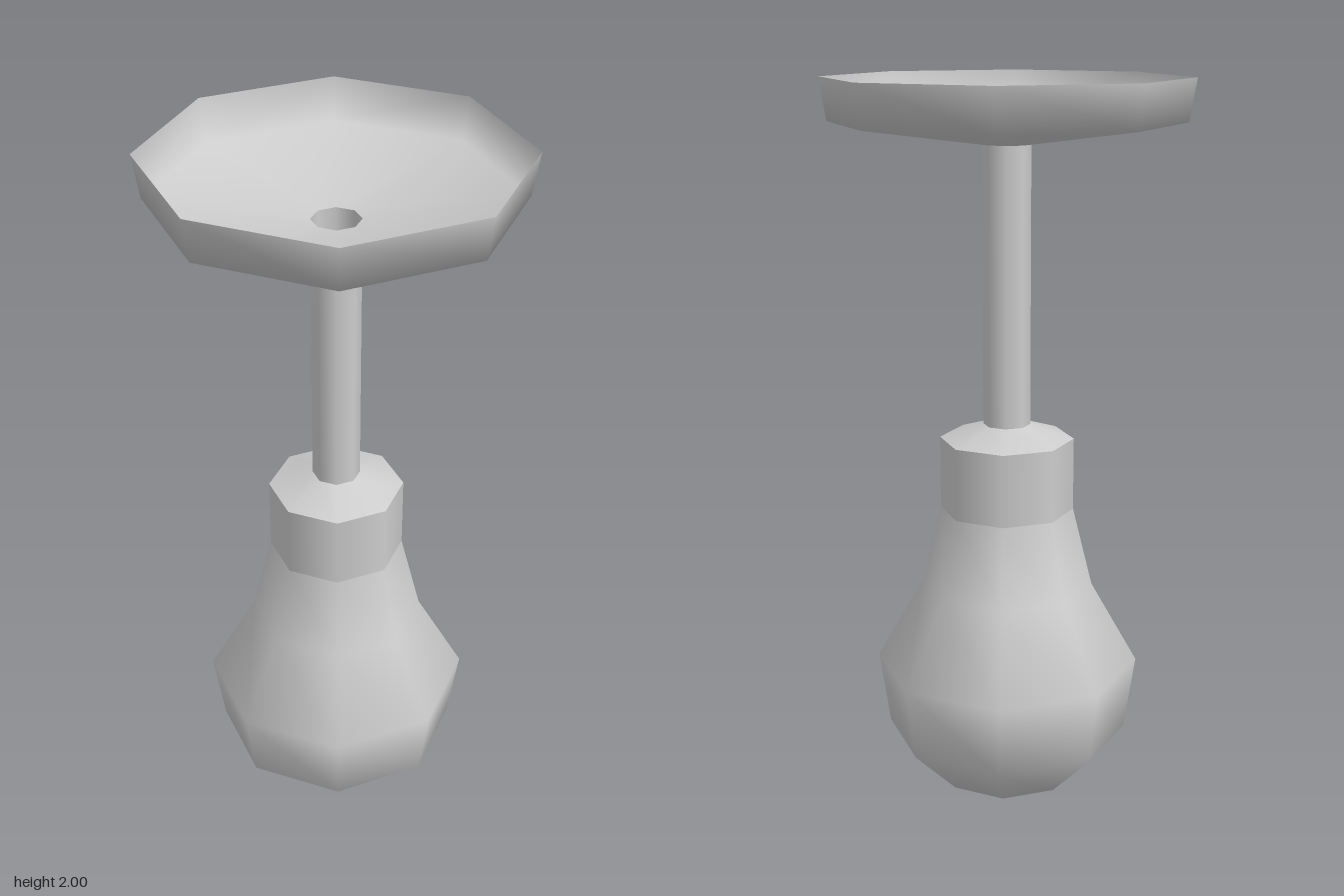
import * as THREE from 'three';

export function createModel() {
  const group = new THREE.Group();
  group.name = 'pendantLamp';
  const grey = new THREE.MeshStandardMaterial({ color: 0xcccccc, side: THREE.DoubleSide });
  grey.name = 'plain grey';

  // Eight-sided turned part, profile listed as [radius, height] from bottom to top
  function turned(name, profile) {
    const points = profile.map(([r, y]) => new THREE.Vector2(r, y));
    const mesh = new THREE.Mesh(new THREE.LatheGeometry(points, 8), grey);
    mesh.name = name;
    group.add(mesh);
  }

  // Glass bulb with rounded bottom and tapering neck
  turned('bulb', [[0, 0], [0.195, 0.05], [0.335, 0.19], [0.365, 0.395], [0.237, 0.62], [0.183, 0.84]]);

  // Socket: straight collar and sloping shoulder
  turned('socketCollar', [[0.183, 0.84], [0.183, 1.04]]);
  turned('socketShoulder', [[0.183, 1.04], [0.064, 1.08]]);

  // Hollow hanging stem
  turned('stem', [[0.064, 1.08], [0.064, 1.83]]);

  // Open ceiling dish with a hole for the stem
  turned('ceilingDish', [[0.064, 1.83], [0.47, 1.887], [0.488, 2]]);

  return group;
}
